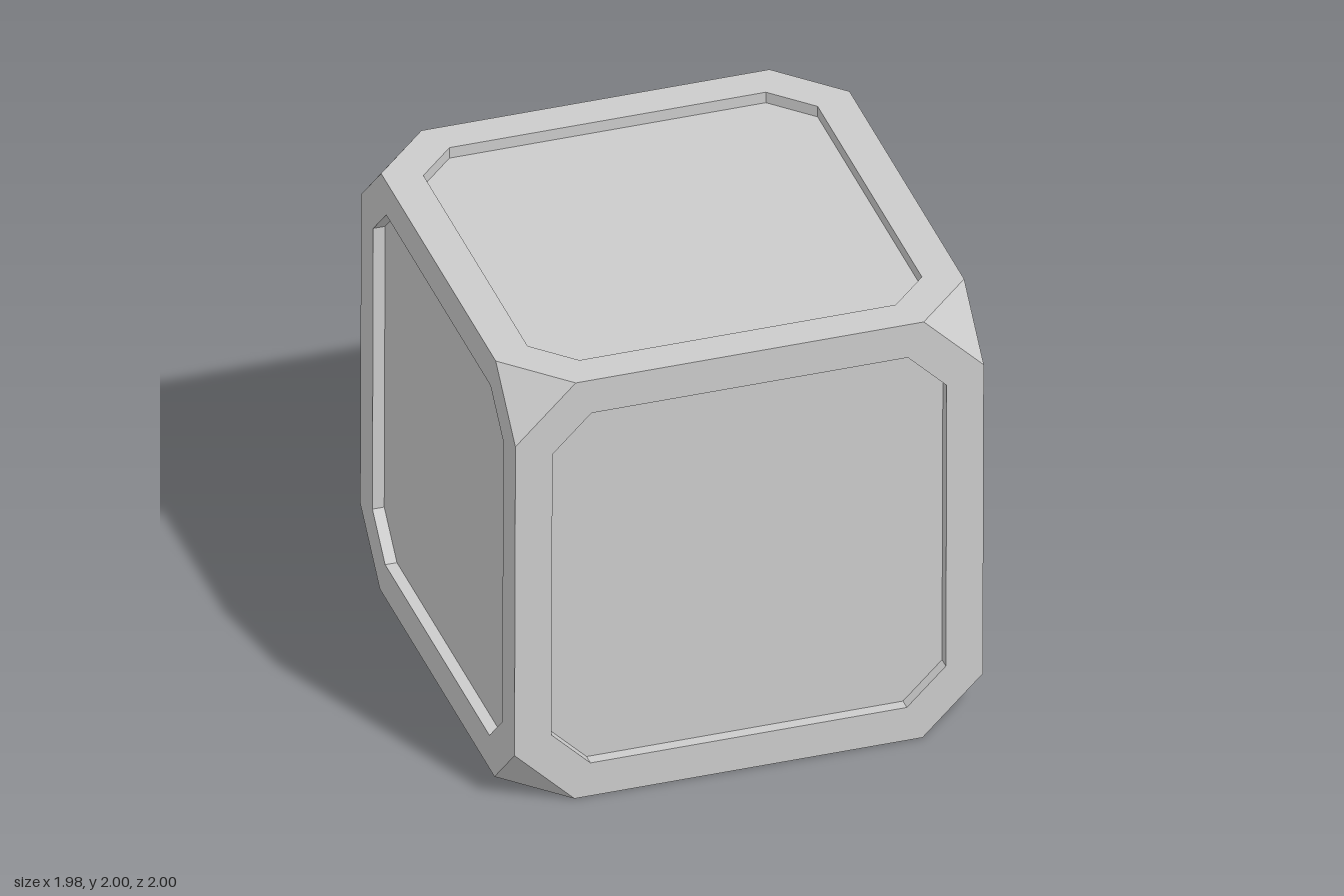
import * as THREE from 'three';

const HALF = 0.992;      // half the cube's side
const CUT = 0.255;       // how far each corner is cut back along its edges
const PANEL = 0.835;     // half the recessed panel's side
const PANEL_CUT = 0.165; // corner cut of the panel
const DEPTH = 0.05;      // panel recess
const TILT = 0.008;      // slight lean about x

const material = new THREE.MeshStandardMaterial({ color: 0xcccccc, flatShading: true });

// Square with cut corners, counter-clockwise
function octagon(h, c) {
  const k = h - c;
  return [[h, -k], [h, k], [k, h], [-k, h], [-h, k], [-h, -k], [-k, -h], [k, -h]]
    .map(([x, y]) => new THREE.Vector2(x, y));
}

function surface(name, points) {
  const geometry = new THREE.BufferGeometry().setFromPoints(points);
  geometry.computeVertexNormals();
  const mesh = new THREE.Mesh(geometry, material);
  mesh.name = name;
  return mesh;
}

// One side of the cube, facing +z: flat rim, recess wall and sunken panel
function createFace(name) {
  const face = new THREE.Group();
  face.name = name;
  const inner = octagon(PANEL, PANEL_CUT);

  const rimShape = new THREE.Shape(octagon(HALF, CUT));
  rimShape.holes.push(new THREE.Path(inner));
  const rim = new THREE.Mesh(new THREE.ShapeGeometry(rimShape), material);
  rim.name = 'rim';
  rim.position.z = HALF;

  const panel = new THREE.Mesh(new THREE.ShapeGeometry(new THREE.Shape(inner)), material);
  panel.name = 'panel';
  panel.position.z = HALF - DEPTH;

  // Wall quads face the middle of the recess
  const wall = [];
  inner.forEach((p, i) => {
    const q = inner[(i + 1) % inner.length];
    const at = (v, z) => new THREE.Vector3(v.x, v.y, z);
    const a = at(p, HALF), b = at(q, HALF);
    const c = at(q, HALF - DEPTH), d = at(p, HALF - DEPTH);
    wall.push(a, b, c, a, c, d);
  });

  face.add(rim, panel, surface('recessWall', wall));
  return face;
}

export function createModel() {
  const model = new THREE.Group();
  model.name = 'cutCornerCube';
  const cube = new THREE.Group();
  cube.name = 'cube';

  // Six sides
  const q = Math.PI / 2;
  const sides = [
    ['frontFace', 0, 0], ['leftFace', 0, q], ['backFace', 0, 2 * q],
    ['rightFace', 0, -q], ['topFace', -q, 0], ['bottomFace', q, 0],
  ];
  for (const [name, rx, ry] of sides) {
    const face = createFace(name);
    face.rotation.set(rx, ry, 0);
    cube.add(face);
  }

  // Eight triangular corner cuts
  const k = HALF - CUT;
  for (const x of [-1, 1]) for (const y of [-1, 1]) for (const z of [-1, 1]) {
    const tri = [[k, HALF, HALF], [HALF, k, HALF], [HALF, HALF, k]]
      .map(([a, b, c]) => new THREE.Vector3(a * x, b * y, c * z));
    // This order faces outward only where the mirroring is odd
    const normal = new THREE.Triangle(...tri).getNormal(new THREE.Vector3());
    if (normal.dot(tri[0]) < 0) tri.reverse();
    cube.add(surface('cornerCut', tri));
  }

  cube.rotation.x = TILT;
  cube.position.y = 1;
  model.add(cube);
  return model;
}
